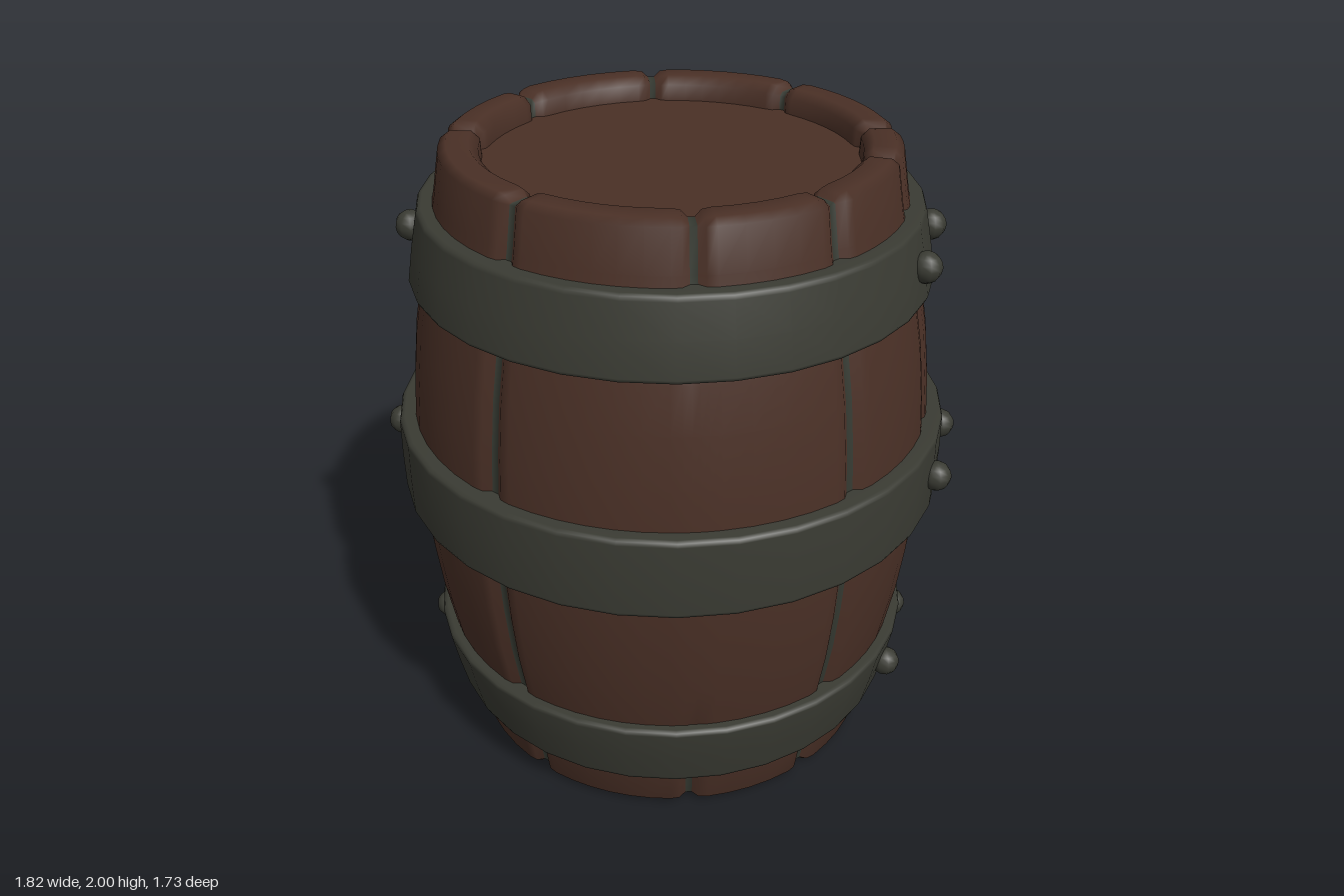
import * as THREE from 'three';

const DEG = Math.PI / 180;

// Wooden shell: one bulging profile swept round, pressed in along the stave seams
function staveShell(wood, groove) {
  // lower half (radius, height), mirrored for the upper half
  const half = [[0.555, 0.08], [0.558, 0.025], [0.585, 0], [0.65, 0], [0.674, 0.018],
    [0.695, 0.14], [0.727, 0.28], [0.757, 0.42], [0.783, 0.56], [0.802, 0.72], [0.812, 0.86]];
  const profile = [...half, [0.815, 1], ...half.map(([r, y]) => [r, 2 - y]).reverse()];
  // angles of the seams in degrees; the short one shows only at the barrel ends
  const seams = [-106, -62, -18, 6, 40, 75, 119, 176, 211];
  const shortSeam = 75;

  const columns = [];
  seams.forEach((a, i) => {
    const next = i + 1 < seams.length ? seams[i + 1] : seams[0] + 360;
    const short = a === shortSeam;
    columns.push({ a: a - 2.6, d: 0.004, short }, { a: a - 0.9, d: 0.022, short, groove: true },
      { a: a + 0.9, d: 0.022, short }, { a: a + 2.6, d: 0.004, short });
    const steps = Math.max(2, Math.round((next - a) / 8));
    for (let k = 0; k <= steps; k++) {
      columns.push({ a: a + 5 + (next - a - 10) * k / steps, d: 0 });
    }
  });

  const isEnd = (p) => profile[p][1] < 0.35 || profile[p][1] > 1.65;
  const pos = [];
  for (const c of columns) {
    profile.forEach(([r, y], p) => {
      const [r0, y0] = profile[Math.max(p - 1, 0)];
      const [r1, y1] = profile[Math.min(p + 1, profile.length - 1)];
      const len = Math.hypot(r1 - r0, y1 - y0);
      const d = c.short && !isEnd(p) ? 0 : c.d;
      const rr = r - d * (y1 - y0) / len;
      pos.push(rr * Math.cos(c.a * DEG), y + d * (r1 - r0) / len, rr * Math.sin(c.a * DEG));
    });
  }

  const n = profile.length;
  const faces = [[], []];
  columns.forEach((c, i) => {
    const j = (i + 1) % columns.length;
    for (let p = 0; p < n - 1; p++) {
      const dark = c.groove && !(c.short && !(isEnd(p) && isEnd(p + 1)));
      const A = i * n + p, B = j * n + p;
      faces[dark ? 1 : 0].push(A, A + 1, B, A + 1, B + 1, B);
    }
  });
  const g = new THREE.BufferGeometry();
  g.setAttribute('position', new THREE.Float32BufferAttribute(pos, 3));
  g.setIndex([...faces[0], ...faces[1]]);
  g.addGroup(0, faces[0].length, 0);
  g.addGroup(faces[0].length, faces[1].length, 1);
  g.computeVertexNormals();
  const mesh = new THREE.Mesh(g, [wood, groove]);
  mesh.name = 'staves';
  return mesh;
}

// Iron band with softened edges, tapering between two radii
function hoop(y0, y1, r0, r1, mat) {
  const b = 0.016;
  const points = [[r0 - 0.09, y0], [r0 - b, y0], [r0 - b * 0.3, y0 + b * 0.3], [r0, y0 + b],
    [(r0 + r1) / 2 + 0.002, (y0 + y1) / 2],
    [r1, y1 - b], [r1 - b * 0.3, y1 - b * 0.3], [r1 - b, y1], [r1 - 0.09, y1]];
  const g = new THREE.LatheGeometry(points.map(([r, y]) => new THREE.Vector2(r, y)), 32);
  return new THREE.Mesh(g, mat);
}

export function createModel() {
  const wood = new THREE.MeshStandardMaterial({ color: 0x4a3026 });
  wood.name = 'brown wood';
  const iron = new THREE.MeshStandardMaterial({ color: 0x3a3b33 });
  iron.name = 'dark iron';
  const groove = new THREE.MeshStandardMaterial({ color: 0x363a32 });
  groove.name = 'mossy seam';

  const barrel = new THREE.Group();
  barrel.name = 'barrel';
  barrel.add(staveShell(wood, groove));

  // Recessed lids
  for (const [name, y, turn] of [['topLid', 1.925, -1], ['bottomLid', 0.06, 1]]) {
    const lid = new THREE.Mesh(new THREE.CircleGeometry(0.58, 40), wood);
    lid.rotation.x = turn * Math.PI / 2;
    lid.position.y = y;
    lid.name = name;
    barrel.add(lid);
  }

  // Three hoops, each with a pair of rivets on either side
  const rivetShape = new THREE.SphereGeometry(0.047, 10, 8);
  const bands = [
    ['lowerHoop', 0.165, 0.405, 0.745, 0.79, 0.285],
    ['middleHoop', 0.895, 1.155, 0.862, 0.862, 1.03],
    ['upperHoop', 1.595, 1.83, 0.79, 0.752, 1.715],
  ];
  for (const [name, y0, y1, r0, r1, rivetY] of bands) {
    const group = new THREE.Group();
    group.name = name;
    const band = hoop(y0, y1, r0, r1, iron);
    band.name = name + 'Band';
    group.add(band);
    const radius = (r0 + r1) / 2 + 0.012;
    for (const [side, z] of [[1, 0.18], [1, -0.145], [-1, 0.135], [-1, -0.155]]) {
      const rivet = new THREE.Mesh(rivetShape, iron);
      rivet.position.set(side * Math.sqrt(radius * radius - z * z), rivetY, z);
      rivet.name = 'rivet';
      group.add(rivet);
    }
    barrel.add(group);
  }
  return barrel;
}
